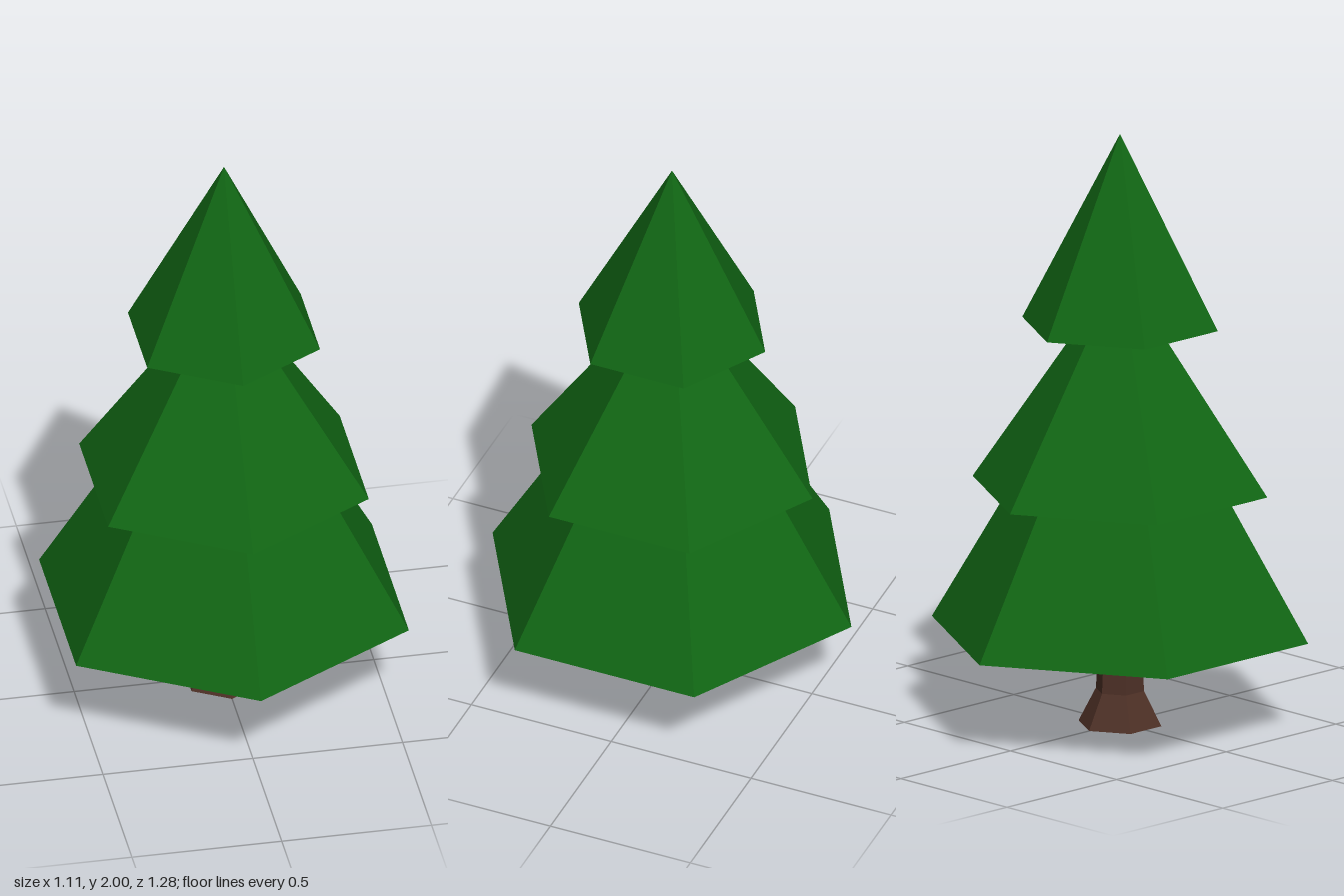
import * as THREE from 'three';

const SIDES = 6;

export function createModel() {
  const tree = new THREE.Group();
  tree.name = 'pineTree';

  const foliage = new THREE.MeshStandardMaterial({ color: 0x116614, flatShading: true });
  foliage.name = 'foliageGreen';
  const bark = new THREE.MeshStandardMaterial({ color: 0x4d3026, flatShading: true });
  bark.name = 'barkBrown';

  // Six-sided section between two heights, with a corner facing the front
  function section(name, material, bottomR, topR, y0, y1, open = false) {
    const geometry = new THREE.CylinderGeometry(topR, bottomR, y1 - y0, SIDES, 1, open);
    const mesh = new THREE.Mesh(geometry, material);
    mesh.name = name;
    mesh.position.y = (y0 + y1) / 2;
    tree.add(mesh);
  }

  // Trunk: flared foot and a slightly tapering stem
  section('trunkFoot', bark, 0.141, 0.082, 0, 0.115);
  section('trunkStem', bark, 0.082, 0.07, 0.115, 0.34, true);

  // Foliage: three overlapping cones with closed undersides
  section('lowerFoliage', foliage, 0.641, 0, 0.317, 1.42);
  section('middleFoliage', foliage, 0.502, 0, 0.803, 1.545);
  section('upperFoliage', foliage, 0.333, 0, 1.355, 2);

  return tree;
}
